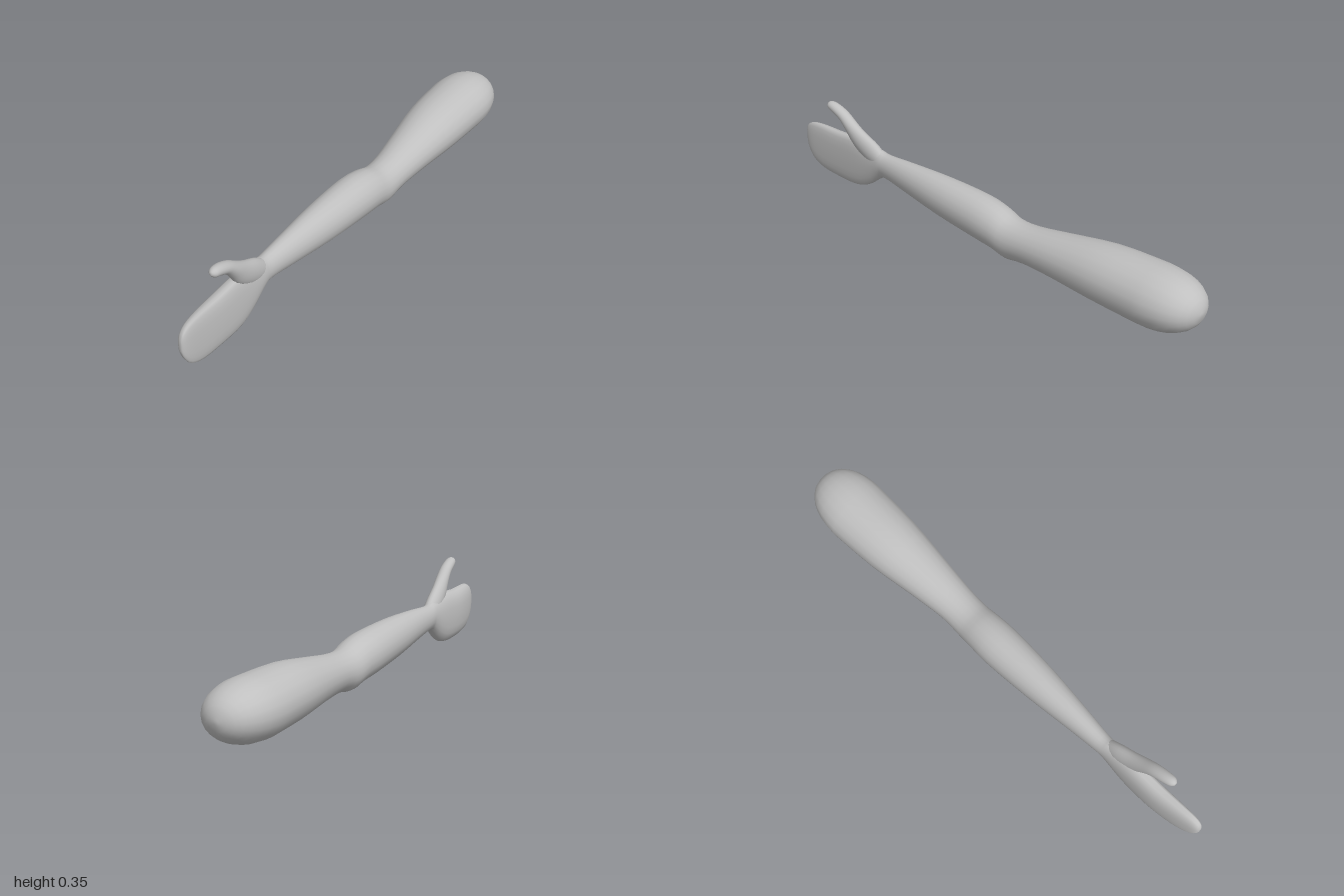
import * as THREE from 'three';

const SIDES = 20;
const angles = Array.from({ length: SIDES }, (_, i) => (i / SIDES) * Math.PI * 2);
const bend = (v, e) => Math.sign(v) * Math.pow(Math.abs(v), e);

// Smoothly interpolate rows of numbers (Catmull-Rom), three steps per span
function smoothRows(rows) {
  const out = [];
  const last = rows.length - 1;
  for (let i = 0; i < last; i++) {
    const [p, a, b, q] = [rows[Math.max(i - 1, 0)], rows[i], rows[i + 1], rows[Math.min(i + 2, last)]];
    for (let s = 0; s < 3; s++) {
      const t = s / 3;
      out.push(a.map((v, k) => v + 0.5 * t * (b[k] - p[k]
        + t * (2 * p[k] - 5 * v + 4 * b[k] - q[k] + t * (3 * (v - b[k]) + q[k] - p[k])))));
    }
  }
  out.push(rows[last]);
  return out;
}

// Skin a list of closed rings and cap both ends with a point
function loft(rings) {
  const pos = rings.flat(2);
  const index = [];
  for (let r = 0; r < rings.length - 1; r++) {
    for (let i = 0; i < SIDES; i++) {
      const a = r * SIDES + i, b = r * SIDES + (i + 1) % SIDES;
      index.push(a, b, a + SIDES, b, b + SIDES, a + SIDES);
    }
  }
  const addCap = (r, flip) => {
    const c = pos.length / 3;
    for (let k = 0; k < 3; k++) pos.push(rings[r].reduce((sum, p) => sum + p[k], 0) / SIDES);
    for (let i = 0; i < SIDES; i++) {
      const a = r * SIDES + i, b = r * SIDES + (i + 1) % SIDES;
      if (flip) index.push(c, b, a);
      else index.push(c, a, b);
    }
  };
  addCap(0, true);
  addCap(rings.length - 1, false);
  const g = new THREE.BufferGeometry();
  g.setAttribute('position', new THREE.Float32BufferAttribute(pos, 3));
  g.setIndex(index);
  g.computeVertexNormals();
  return g;
}

// Oval section across z; towards the hand it turns squarer and flatter on the left
function section([z, x0, x1, y0, y1]) {
  const hand = THREE.MathUtils.smoothstep(z, 0.5, 0.75);
  const xm = x0 + (x1 - x0) * (0.5 + 0.2 * hand);
  const e = 1 - 0.2 * hand;
  return angles.map((t) => {
    const c = bend(Math.cos(t), e), s = bend(Math.sin(t), e);
    return [xm + c * (c > 0 ? x1 - xm : xm - x0), (y0 + y1) / 2 + s * (y1 - y0) / 2, z];
  });
}

// Rounded shoulder: shrink the first arm section along a blunt dome
function shoulder([z, x0, x1, y0, y1]) {
  return Array.from({ length: 8 }, (_, i) => {
    const a = ((i + 0.25) / 8) * Math.PI / 2;
    const k = Math.pow(Math.sin(a), 0.87);
    const depth = 0.2 * Math.pow(Math.cos(a), 0.87);
    const cy = (y0 + y1) / 2 + 0.03 * depth, h = k * (y1 - y0) / 2;
    return [z - depth, x0 * k, x1 * k, cy - h, cy + h];
  });
}

export function createModel() {
  const group = new THREE.Group();
  group.name = 'arm';
  const skin = new THREE.MeshStandardMaterial({ color: 0xc0c0c0 });
  skin.name = 'plain grey';

  const add = (name, geometry) => {
    const mesh = new THREE.Mesh(geometry, skin);
    mesh.name = name;
    group.add(mesh);
  };

  // Upper arm, elbow and forearm: z, then the x range and the y range
  const arm = [
    [-0.80, -0.131, 0.130, 0.040, 0.259],
    [-0.60, -0.115, 0.125, 0.040, 0.249],
    [-0.40, -0.080, 0.108, 0.045, 0.215],
    [-0.26, -0.058, 0.097, 0.042, 0.190],
    [-0.17, -0.057, 0.096, 0.025, 0.187],
    [-0.10, -0.062, 0.098, 0.037, 0.207],
    [0.0, -0.066, 0.100, 0.045, 0.220],
    [0.2, -0.052, 0.090, 0.060, 0.221],
    [0.4, -0.030, 0.070, 0.083, 0.210],
  ];
  // Wrist and mitten palm, continuing the same skin
  const palm = [
    [0.52, -0.018, 0.057, 0.095, 0.200],
    [0.56, -0.014, 0.056, 0.082, 0.208],
    [0.62, -0.014, 0.057, 0.036, 0.217],
    [0.69, -0.014, 0.058, 0.007, 0.222],
    [0.80, -0.011, 0.059, 0.003, 0.213],
    [0.90, 0.002, 0.060, 0.011, 0.212],
    [0.96, 0.015, 0.060, 0.038, 0.205],
    [0.99, 0.026, 0.056, 0.080, 0.184],
    [1.0, 0.037, 0.048, 0.115, 0.155],
  ];
  const rows = [...shoulder(arm[0]), ...smoothRows([...arm, ...palm])];
  add('armAndPalm', loft(rows.map(section)));

  // Thumb: centre x, y, z, half-width and half-thickness along a bent path
  const thumb = smoothRows([
    [0.025, 0.150, 0.53, 0.022, 0.030],
    [0.028, 0.182, 0.60, 0.030, 0.048],
    [0.035, 0.222, 0.665, 0.029, 0.044],
    [0.041, 0.268, 0.712, 0.027, 0.030],
    [0.044, 0.304, 0.752, 0.025, 0.023],
    [0.047, 0.324, 0.795, 0.023, 0.021],
    [0.050, 0.332, 0.825, 0.018, 0.017],
    [0.050, 0.334, 0.838, 0.006, 0.006],
  ]);
  add('thumb', loft(thumb.map(([x, y, z, w, h], i) => {
    const a = thumb[Math.max(i - 1, 0)], b = thumb[Math.min(i + 1, thumb.length - 1)];
    const dy = b[1] - a[1], dz = b[2] - a[2], len = Math.hypot(dy, dz);
    return angles.map((t) => [
      x + Math.cos(t) * w,
      y + Math.sin(t) * h * dz / len,
      z - Math.sin(t) * h * dy / len,
    ]);
  })));

  return group;
}
